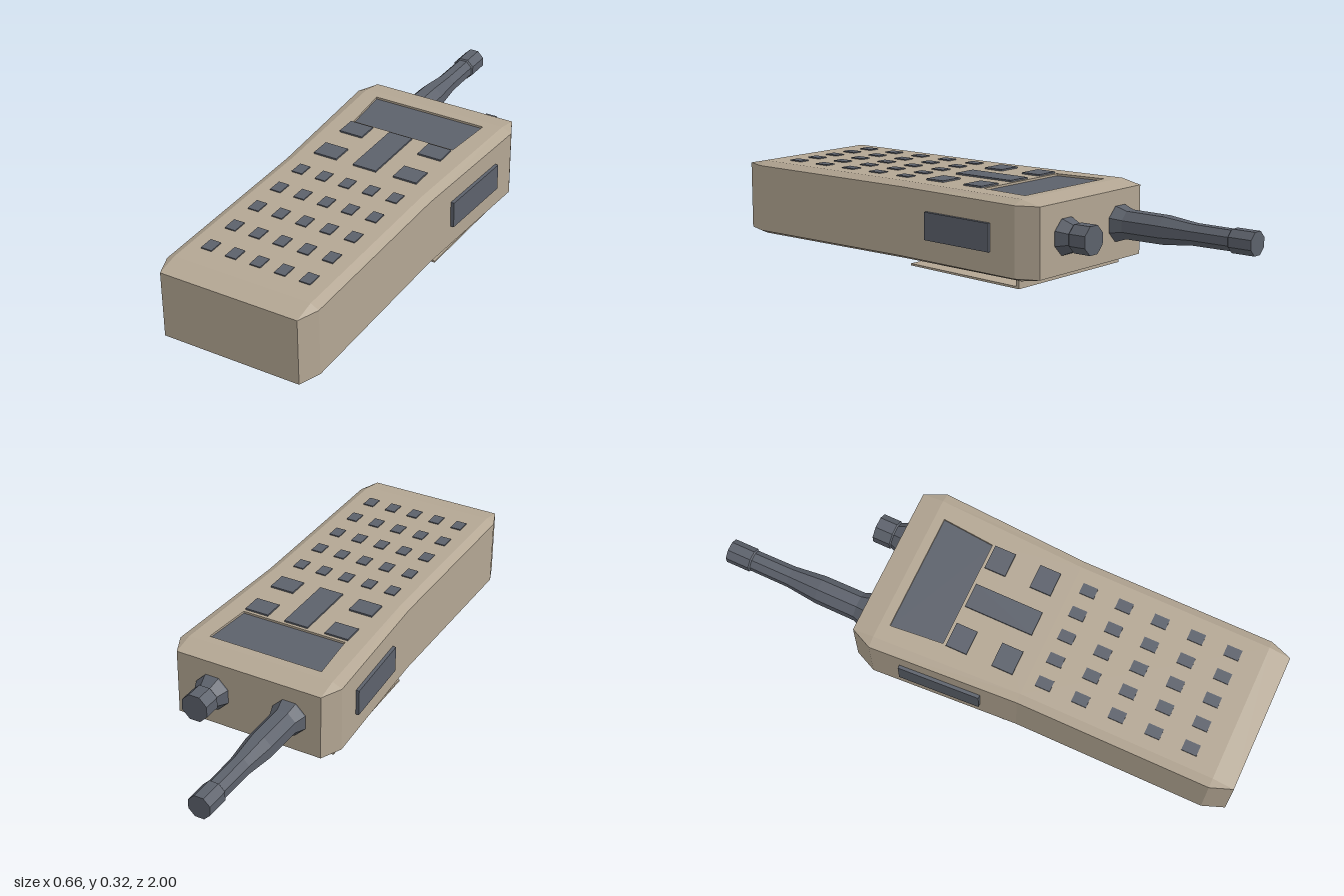
import * as THREE from 'three';

const mat = (color) => new THREE.MeshStandardMaterial({ color, flatShading: true, side: THREE.DoubleSide });

// Mirrors a +x half outline [x, z], listed front to back, into a closed loop
const mirror = (half) => [...half, ...half.slice().reverse().map(([x, z]) => [-x, z])];

// Walls between two matching loops at two heights
function walls(loopA, yA, loopB, yB) {
  const pos = [];
  const n = loopA.length;
  for (let i = 0; i < n; i++) {
    const j = (i + 1) % n;
    const a = [loopA[i][0], yA, loopA[i][1]], b = [loopA[j][0], yA, loopA[j][1]];
    const c = [loopB[j][0], yB, loopB[j][1]], d = [loopB[i][0], yB, loopB[i][1]];
    pos.push(...a, ...b, ...c, ...a, ...c, ...d);
  }
  const g = new THREE.BufferGeometry();
  g.setAttribute('position', new THREE.Float32BufferAttribute(pos, 3));
  g.computeVertexNormals();
  return g;
}

// Flat horizontal face filling a loop, facing up or down, with an optional hole
function cap(loop, y, up, hole) {
  const s = up ? -1 : 1;
  const pts = (l) => l.map(([x, z]) => new THREE.Vector2(x, s * z));
  const shape = new THREE.Shape(pts(loop));
  if (hole) shape.holes.push(new THREE.Path(pts(hole)));
  return new THREE.ShapeGeometry(shape).rotateX(s * Math.PI / 2).translate(0, y, 0);
}

export function createModel() {
  const root = new THREE.Group();
  const tan = mat(0xb3a693);
  const dark = mat(0x5c616b);
  const add = (parent, name, geometry, material) => {
    const m = new THREE.Mesh(geometry, material);
    m.name = name;
    parent.add(m);
    return m;
  };
  const group = (name) => {
    const g = new THREE.Group();
    g.name = name;
    root.add(g);
    return g;
  };

  // Body: tapered case with chamfered corners and edges
  const outer = mirror([[0.26, 1], [0.29, 0.92], [0.29, 0.2], [0.322, -0.355], [0.285, -0.435]]);
  const inner = mirror([[0.26, 0.92], [0.26, 0.92], [0.26, 0.2], [0.285, -0.355], [0.285, -0.355]]);
  const face = mirror([[0.26, 0.92], [0.26, 0.2], [0.285, -0.355]]);
  const screen = mirror([[0.205, -0.122], [0.223, -0.32]]);
  const top = 0.31, bottom = 0.029, recess = 0.302;
  const body = group('body');
  add(body, 'lowerChamfer', walls(inner, bottom, outer, 0.043), tan);
  add(body, 'caseSides', walls(outer, 0.043, outer, 0.293), tan);
  add(body, 'upperChamfer', walls(outer, 0.293, inner, top), tan);
  add(body, 'facePlate', cap(face, top, true, screen), tan);
  add(body, 'backPlate', cap(face, bottom, false), tan);
  add(body, 'screenRecess', walls(screen, top, screen, recess), tan);
  add(body, 'screen', cap(screen, recess, true), dark);

  // Buttons on the face
  const buttons = group('buttons');
  const button = (name, x, z, w, d, h) =>
    add(buttons, name, new THREE.BoxGeometry(w, h + 0.01, d).translate(x, top + (h - 0.01) / 2, z), dark);
  const mid = -0.002;
  button('centreButton', mid, 0.018, 0.093, 0.258, 0.006);
  for (const s of [-1, 1])
    for (const z of [-0.07, 0.106]) button('cornerButton', mid + s * 0.161, z, 0.092, 0.08, 0.006);
  for (let row = 0; row < 5; row++)
    for (let col = -2; col <= 2; col++)
      button('key', mid + col * 0.0945, 0.261 + row * 0.1375, 0.041, 0.056, 0.004);

  // Side buttons following the taper of the case
  for (const s of [-1, 1]) {
    const half = [[0.311, 0.062], [0.328, -0.244], [0.304, -0.244], [0.287, 0.062]];
    const shape = new THREE.Shape(half.map(([x, z]) => new THREE.Vector2(s * x, -z)));
    const g = new THREE.ExtrudeGeometry(shape, { depth: 0.1, bevelEnabled: false });
    add(root, s > 0 ? 'leftSideButton' : 'rightSideButton', g.rotateX(-Math.PI / 2).translate(0, 0.12, 0), dark);
  }

  // Antenna and knob: eight-sided turned parts, profile [radius, length]
  const turned = (name, x, profile) => {
    const k = 1 / Math.cos(Math.PI / 8);
    const pts = profile.map(([r, l]) => new THREE.Vector2(r * k, l));
    const g = new THREE.LatheGeometry(pts, 8, Math.PI / 8);
    add(root, name, g.rotateX(-Math.PI / 2).translate(x, 0.173, -0.435), dark);
  };
  turned('antenna', -0.163, [[0, -0.01], [0.063, -0.01], [0.063, 0.005], [0.05, 0.045], [0.049, 0.2],
    [0.037, 0.32], [0.036, 0.47], [0.041, 0.475], [0.041, 0.565], [0, 0.565]]);
  turned('knob', 0.143, [[0, -0.01], [0.063, -0.01], [0.063, 0.005], [0.046, 0.045], [0.05, 0.05],
    [0.05, 0.117], [0, 0.117]]);

  // Belt clip: thin sloping plate hooked to the back near the top end
  const clipProfile = [[-0.15, 0.013], [0.345, 0], [0.345, 0.032], [0.333, 0.032], [0.333, 0.008], [-0.15, 0.02]];
  const clipShape = new THREE.Shape(clipProfile.map(([l, y]) => new THREE.Vector2(l, y)));
  const clip = new THREE.ExtrudeGeometry(clipShape, { depth: 0.57, bevelEnabled: false });
  add(root, 'beltClip', clip.rotateY(Math.PI / 2).translate(-0.285, 0, 0), tan);

  return root;
}
